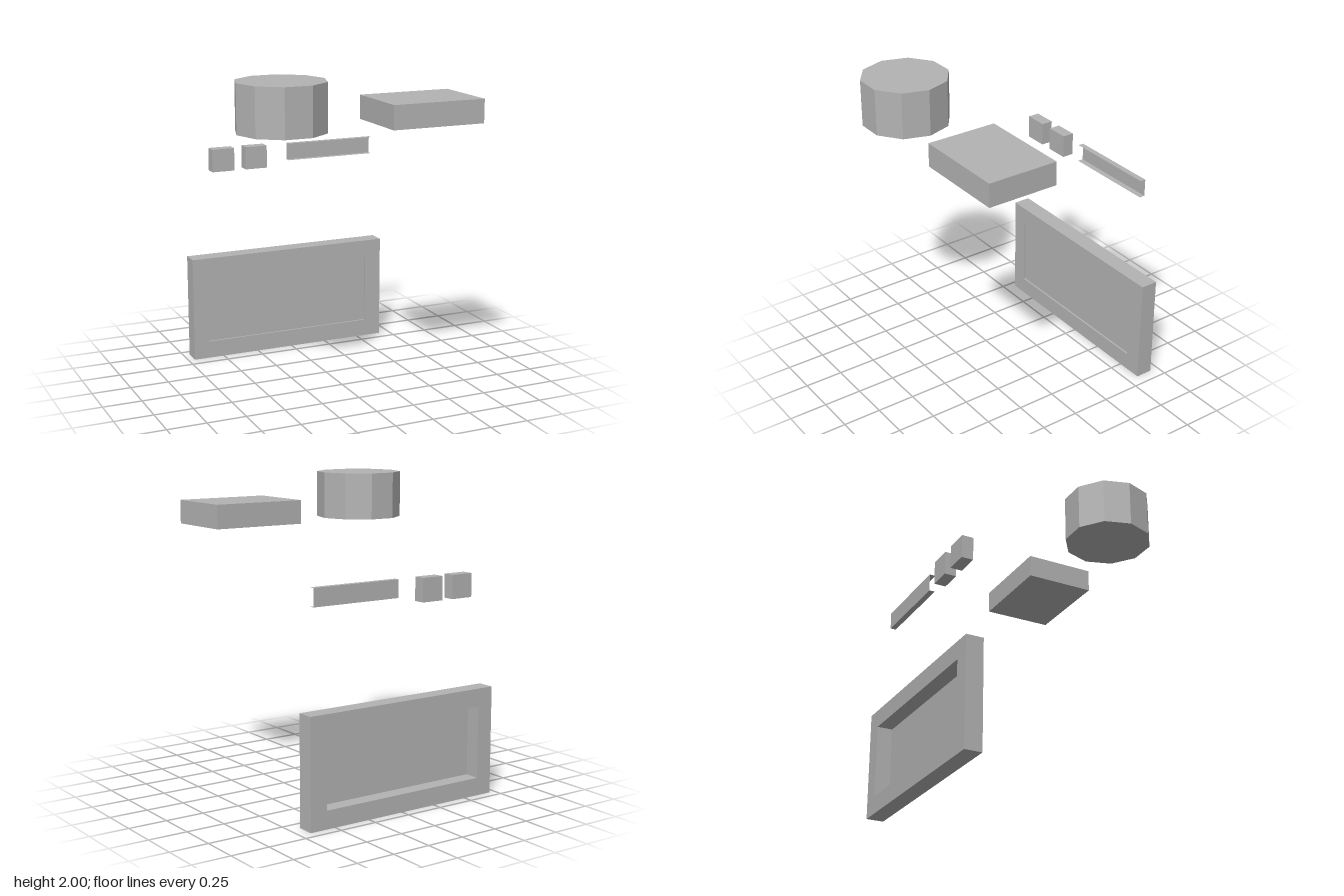
import * as THREE from 'three';

export function createModel() {
  const model = new THREE.Group();
  const grey = new THREE.MeshStandardMaterial({ color: 0xb3b3b3, flatShading: true, side: THREE.DoubleSide });
  grey.name = 'grey';

  function add(name, geometry, x = 0, y = 0, z = 0) {
    const mesh = new THREE.Mesh(geometry, grey);
    mesh.name = name;
    mesh.position.set(x, y, z);
    model.add(mesh);
    return mesh;
  }

  // box given by its lower and upper corners
  function box(name, [x0, y0, z0], [x1, y1, z1]) {
    add(name, new THREE.BoxGeometry(x1 - x0, y1 - y0, z1 - z0),
      (x0 + x1) / 2, (y0 + y1) / 2, (z0 + z1) / 2);
  }

  // rectangular outline as a list of corners
  const rectangle = (x0, y0, x1, y1) => [[x0, y0], [x1, y0], [x1, y1], [x0, y1]]
    .map(([x, y]) => new THREE.Vector2(x, y));

  // ten-sided drum with corners on the x axis
  add('drum', new THREE.CylinderGeometry(0.278, 0.278, 0.3, 10, 1, false, Math.PI / 2), -0.479, 1.85, 0.425);

  // flat slab beside the drum
  box('slab', [0.14, 1.7, 0.195], [0.753, 1.85, 0.655]);

  // two small blocks
  box('rightBlock', [-0.555, 1.275, -0.654], [-0.402, 1.425, -0.578]);
  box('leftBlock', [-0.323, 1.275, -0.654], [-0.172, 1.425, -0.578]);

  // thin channel: a web at the back with two flanges, open to the front
  const [railLeft, railRight, railLow, railHigh, railBack, railFront] = [0.6, -0.015, 1.312, 1.425, -0.615, -0.578];
  const railWidth = railLeft - railRight;
  const railX = (railLeft + railRight) / 2;
  add('railWeb', new THREE.PlaneGeometry(railWidth, railHigh - railLow), railX, (railLow + railHigh) / 2, railBack);
  for (const [name, y] of [['railTopFlange', railHigh], ['railBottomFlange', railLow]]) {
    const flange = new THREE.PlaneGeometry(railWidth, railFront - railBack).rotateX(-Math.PI / 2);
    add(name, flange, railX, y, (railFront + railBack) / 2);
  }

  // picture-style frame with a thin panel set just behind its front
  const frame = new THREE.Shape(rectangle(-0.708, 0, 0.675, 0.695));
  frame.holes.push(new THREE.Path(rectangle(-0.6, 0.115, 0.56, 0.58)));
  add('frame', new THREE.ExtrudeGeometry(frame, { depth: 0.112, bevelEnabled: false }), 0, 0, -0.69);
  add('panel', new THREE.PlaneGeometry(1.16, 0.465), -0.02, 0.3475, -0.59);

  return model;
}
